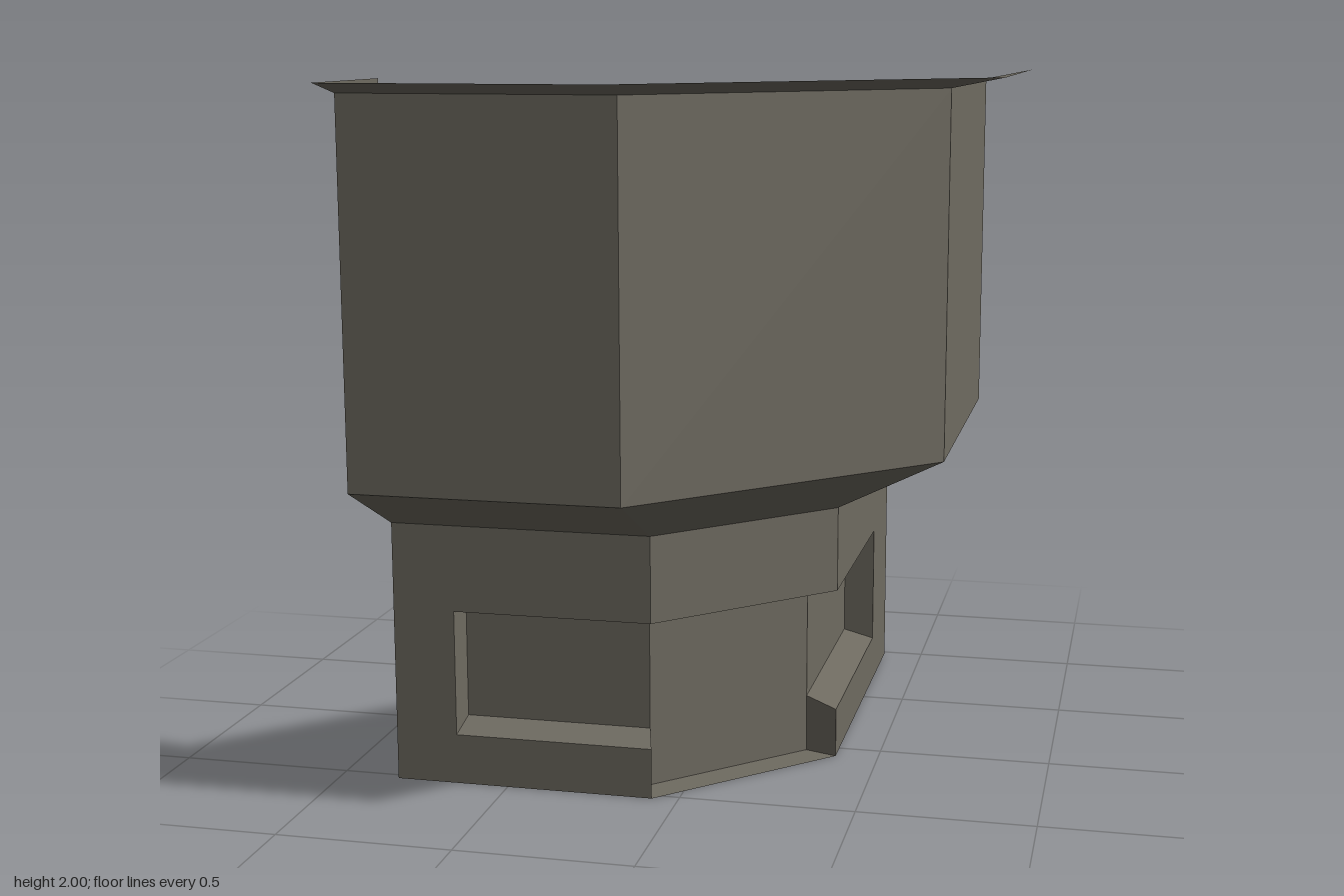
import * as THREE from 'three';

// Plan lines [x, z] running from the front wall, round the diagonal, to the side wall
const LOWER = [[-0.83, 0.525], [-0.075, 0.525], [0.375, 0.07], [0.375, -0.98]];
const UPPER = [[-0.83, 0.83], [-0.075, 0.83], [0.68, 0.07], [0.68, -0.98]];
const LIP = [[-0.83, 0.975], [-0.075, 0.975], [0.83, 0.07], [0.83, -0.98]];
const MOUTH = [[-0.65, 0.525], [-0.075, 0.525], [0.375, 0.07], [0.375, -0.68]];
const PANEL = [[-0.65, 0.42], [-0.105, 0.42], [0.28, 0.035], [0.28, -0.68]];

const SILL = 0.145, SILL_BACK = 0.17, HEAD = 0.51, WAIST = 0.76, SHOULDER = 0.91, EAVE = 1.97, TOP = 2;

export function createModel() {
  const group = new THREE.Group();
  const stone = new THREE.MeshStandardMaterial({ color: 0x6f6b61, side: THREE.DoubleSide });
  stone.name = 'warm grey';

  const add = (name, geometry) => {
    const mesh = new THREE.Mesh(geometry, stone);
    mesh.name = name;
    group.add(mesh);
    return mesh;
  };

  // Flat-shaded quads, each given as four corners counter-clockwise from outside
  const quads = (name, list) => {
    const pos = [];
    for (const [a, b, c, d] of list) pos.push(...a, ...b, ...c, ...a, ...c, ...d);
    const g = new THREE.BufferGeometry();
    g.setAttribute('position', new THREE.Float32BufferAttribute(pos, 3));
    g.computeVertexNormals();
    return add(name, g);
  };
  const at = ([x, z], y) => [x, y, z];

  // Quads joining a lower plan line to an upper one, over chosen segments
  const band = (a, ya, b, yb, segments = [0, 1, 2]) => segments.map((i) =>
    [at(a[i], ya), at(a[i + 1], ya), at(b[i + 1], yb), at(b[i], yb)]);

  // Upper storey: sloped underside, wall and flared lip
  quads('slopedUnderside', band(LOWER, WAIST, UPPER, SHOULDER));
  quads('upperWall', band(UPPER, SHOULDER, UPPER, EAVE));
  quads('topLip', band(UPPER, EAVE, LIP, TOP));

  // Lower walls with a notch where the recess opens
  const notchedWall = (corner, jamb, end) => new THREE.ShapeGeometry(new THREE.Shape([
    [corner, 0], [corner, SILL], [jamb, SILL], [jamb, HEAD],
    [corner, HEAD], [corner, WAIST], [end, WAIST], [end, 0],
  ].map(([x, y]) => new THREE.Vector2(x, y))));
  add('lowerFrontWall', notchedWall(-0.075, -0.65, -0.83)).position.z = 0.525;
  add('lowerSideWall', notchedWall(-0.07, 0.68, 0.98).rotateY(Math.PI / 2)).position.x = 0.375;
  quads('lowerDiagonalWall', band(LOWER, HEAD, LOWER, WAIST, [1]));

  // Recess: back panels, ceiling, sloped sills, floor and jambs
  quads('recessPanels', [
    ...band(PANEL, SILL_BACK, PANEL, HEAD, [0, 2]),
    ...band(PANEL, 0, PANEL, HEAD, [1]),
  ]);
  quads('recessCeiling', band(PANEL, HEAD, MOUTH, HEAD));
  quads('recessSills', band(MOUTH, SILL, PANEL, SILL_BACK, [0, 2]));
  quads('recessFloor', band(MOUTH, 0, PANEL, 0, [1]));
  const cheek = (i, y0, y1) => [at(MOUTH[i], y0), at(PANEL[i], y1), at(PANEL[i], HEAD), at(MOUTH[i], HEAD)];
  quads('recessJambs', [cheek(0, SILL, SILL_BACK), cheek(3, SILL, SILL_BACK).reverse()]);
  const pier = (i) => [at(MOUTH[i], 0), at(PANEL[i], 0), at(PANEL[i], SILL_BACK), at(MOUTH[i], SILL)];
  quads('sillEnds', [pier(1), pier(2).reverse()]);

  // End plate closing the overhang on the front wall
  const plate = new THREE.Shape([
    [-0.525, WAIST], [-0.525, TOP], [-0.975, TOP], [-0.83, EAVE], [-0.83, SHOULDER],
  ].map(([x, y]) => new THREE.Vector2(x, y)));
  add('endPlate', new THREE.ShapeGeometry(plate).rotateY(Math.PI / 2)).position.x = -0.83;

  return group;
}
